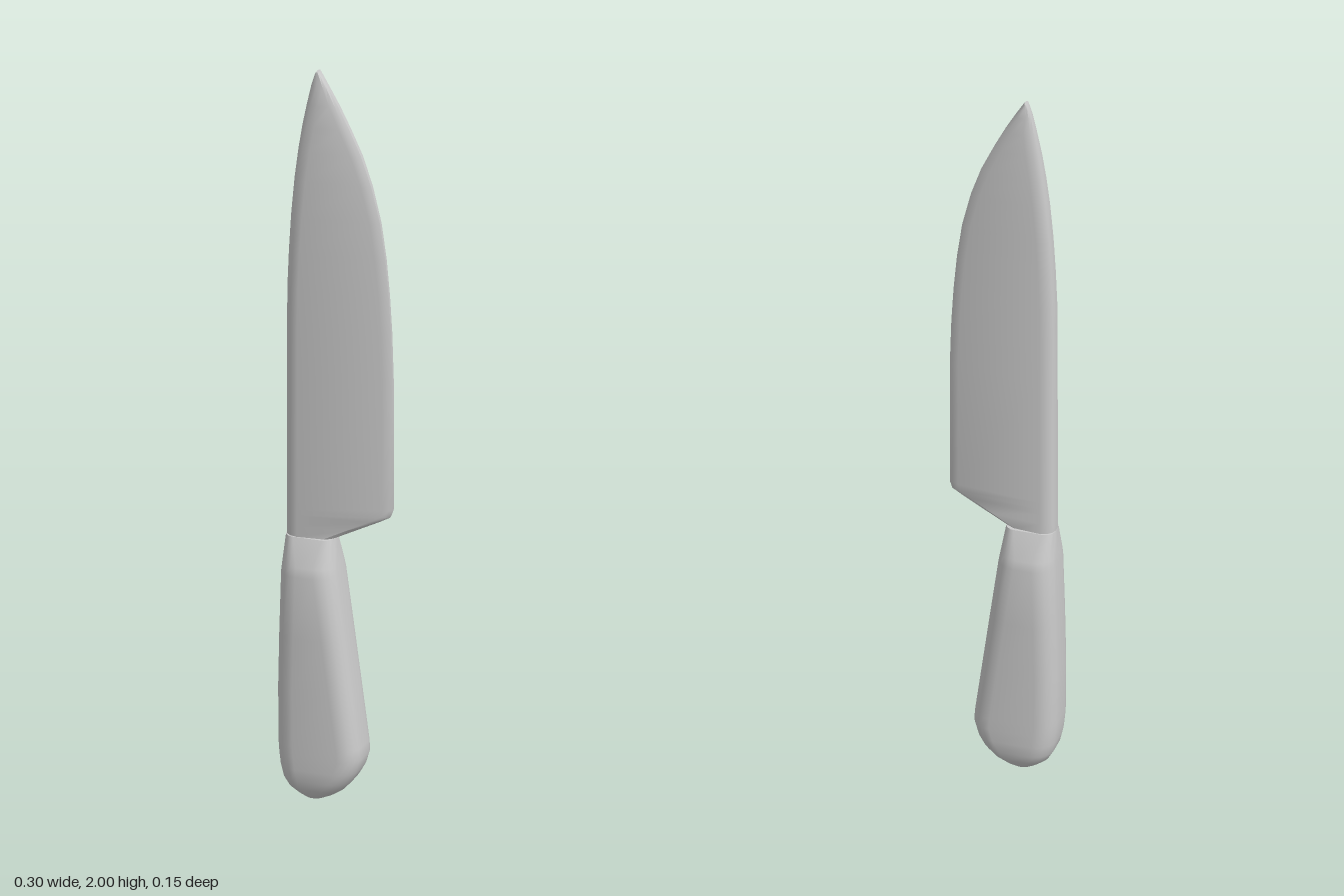
import * as THREE from 'three';
import { toCreasedNormals } from 'three/addons/utils/BufferGeometryUtils.js';

const material = new THREE.MeshStandardMaterial({ color: 0xcccccc });

// Joins rings of [x, y, z] points (counter-clockwise from above) into a capped solid
function loft(name, rings, crease) {
  const n = rings[0].length;
  const points = rings.flat();
  const index = [];
  for (let r = 0; r < rings.length - 1; r++) {
    for (let i = 0; i < n; i++) {
      const a = r * n + i, b = r * n + (i + 1) % n;
      index.push(a, b, b + n, a, b + n, a + n);
    }
  }
  const top = (rings.length - 1) * n;
  for (let i = 1; i < n - 1; i++) {
    index.push(0, i + 1, i);
    index.push(top, top + i, top + i + 1);
  }
  const geometry = new THREE.BufferGeometry();
  geometry.setAttribute('position', new THREE.Float32BufferAttribute(points.flat(), 3));
  geometry.setIndex(index);
  const mesh = new THREE.Mesh(toCreasedNormals(geometry, crease), material);
  mesh.name = name;
  return mesh;
}

// Rounded rectangle ring for the handle
function handleRing([y, x0, x1, depth]) {
  const radius = Math.min(0.052, (x1 - x0) * 0.42, depth * 0.7);
  const cx = (x0 + x1) / 2, hx = (x1 - x0) / 2 - radius, hz = depth - radius;
  const corners = [[1, -1], [-1, -1], [-1, 1], [1, 1]];
  const ring = [];
  corners.forEach(([sx, sz], q) => {
    for (let k = 0; k <= 5; k++) {
      const a = (q + k / 5) * Math.PI / 2;
      ring.push([cx + sx * hx + radius * Math.cos(a), y, sz * hz - radius * Math.sin(a)]);
    }
  });
  return ring;
}

// Wedge ring for the blade: rounded spine at -x, thin cutting edge at +x
function bladeRing([y, x0, x1, thick]) {
  const s = Math.min(1, (x1 - x0) / 0.1);
  const half = (x) => thick * THREE.MathUtils.mapLinear(x, -0.1, 0.13, 1, 0.42);
  const side = [
    [x1, 0.4], [x1 - 0.008 * s, 0.75], [x1 - 0.025 * s, 1],
    [x0 + 0.036 * s, 1], [x0 + 0.016 * s, 0.85], [x0 + 0.004 * s, 0.55], [x0, 0.25],
  ].map(([x, f]) => [x, y, -half(Math.min(Math.max(x, -0.1), 0.15)) * f]);
  const mirrored = side.map(([x, h, z]) => [x, h, -z]).reverse();
  return [...side, ...mirrored];
}

export function createModel() {
  const group = new THREE.Group();
  group.name = 'kitchenKnife';

  // Handle, bottom to top: y, back x, front x, half depth
  const handle = [
    [0, -0.075, -0.03, 0.045], [0.012, -0.1, 0.0, 0.058], [0.03, -0.122, 0.026, 0.069],
    [0.055, -0.136, 0.048, 0.076], [0.085, -0.143, 0.065, 0.077], [0.12, -0.147, 0.075, 0.077],
    [0.15, -0.149, 0.073, 0.077], [0.3, -0.15, 0.053, 0.077], [0.45, -0.147, 0.033, 0.077],
    [0.62, -0.142, 0.01, 0.077], [0.645, -0.14, 0.006, 0.072], [0.715, -0.135, -0.005, 0.038],
  ];
  group.add(loft('handle', handle.map(handleRing), 0.6));

  // Blade, heel to tip: y, spine x, edge x, half thickness
  const blade = [
    [0.69, -0.134, -0.012, 0.036], [0.715, -0.135, -0.005, 0.036], [0.745, -0.135, 0.055, 0.036],
    [0.775, -0.135, 0.115, 0.036], [0.79, -0.135, 0.142, 0.036], [0.81, -0.135, 0.149, 0.036],
    [1.17, -0.135, 0.149, 0.034], [1.3, -0.135, 0.145, 0.033], [1.4, -0.134, 0.139, 0.032],
    [1.5, -0.13, 0.13, 0.031], [1.6, -0.124, 0.116, 0.03], [1.7, -0.115, 0.092, 0.029],
    [1.78, -0.105, 0.065, 0.027], [1.85, -0.094, 0.033, 0.024], [1.91, -0.082, 0.003, 0.021],
    [1.96, -0.071, -0.025, 0.017], [1.99, -0.062, -0.043, 0.014], [2, -0.057, -0.05, 0.012],
  ];
  group.add(loft('blade', blade.map(bladeRing), 0.6));
  return group;
}
